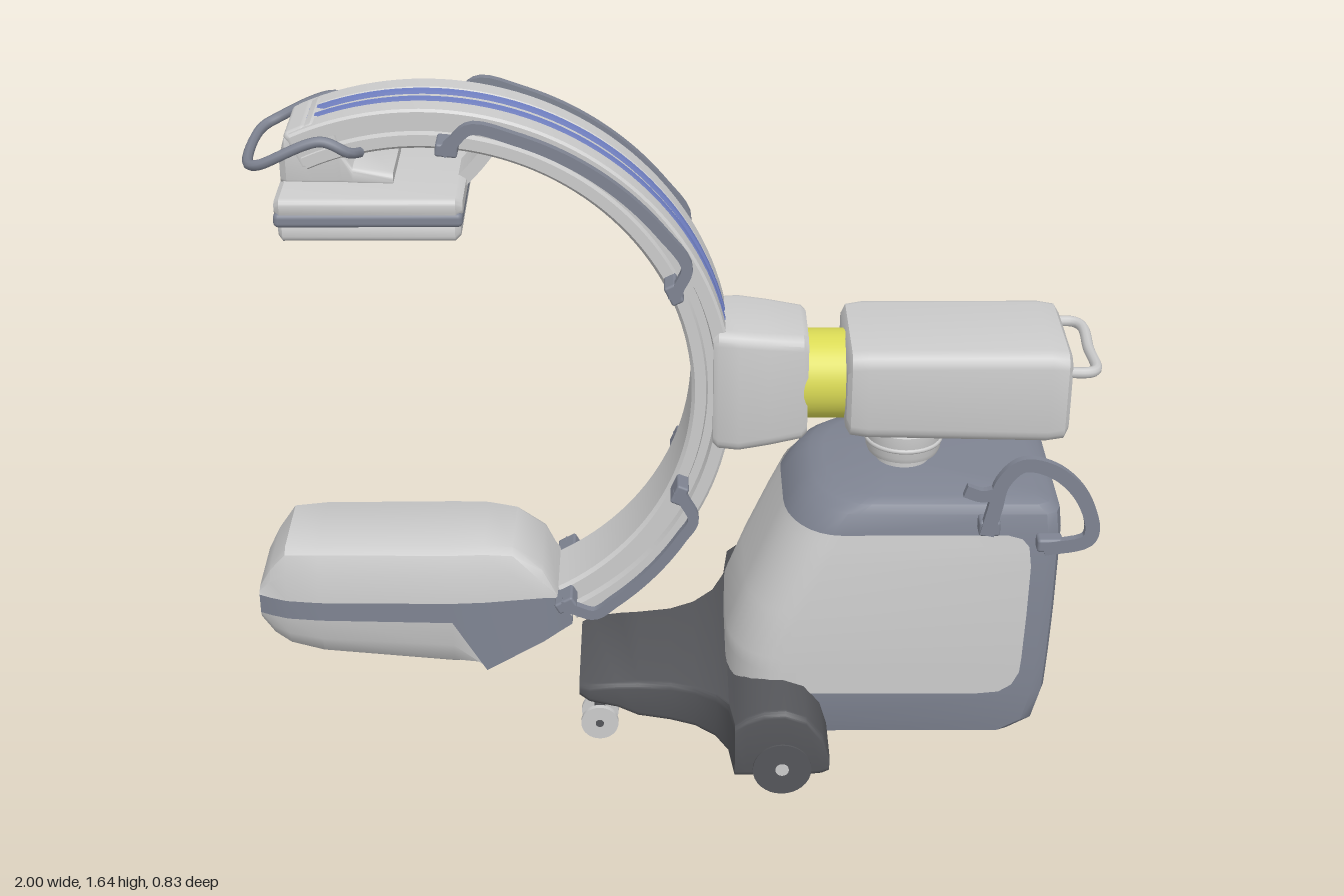
import * as THREE from 'three';
import { toCreasedNormals } from 'three/addons/utils/BufferGeometryUtils.js';
import { RoundedBoxGeometry } from 'three/addons/geometries/RoundedBoxGeometry.js';

const V = (x, y, z = 0) => new THREE.Vector3(x, y, z);
const lerp = THREE.MathUtils.lerp, rad = THREE.MathUtils.degToRad;
const mat = (color, side = THREE.FrontSide) => new THREE.MeshStandardMaterial({ color, side });
const LIGHT = mat(0xcccccc), SLATE = mat(0x7f8492), DARK = mat(0x55565a);
const YELLOW = mat(0xdada55), BLUE = mat(0x7080c4, THREE.DoubleSide), PANEL = mat(0xcccccc, THREE.DoubleSide);

// Surface through equal-length rows of points; closed rows get end caps
function skin(rows, closed = true) {
  const n = rows[0].length, pos = [], idx = [];
  rows.flat().forEach(p => pos.push(p.x, p.y, p.z));
  for (let i = 0; i < rows.length - 1; i++) for (let j = 0; j < (closed ? n : n - 1); j++) {
    const a = i * n + j, b = i * n + (j + 1) % n;
    idx.push(a, b, b + n, a, b + n, a + n);
  }
  if (closed) for (const i of [0, rows.length - 1]) {
    const c = rows[i].reduce((s, p) => s.add(p), V(0, 0)).divideScalar(n), ci = pos.length / 3;
    pos.push(c.x, c.y, c.z);
    for (let j = 0; j < n; j++) {
      const a = i * n + j, b = i * n + (j + 1) % n;
      idx.push(ci, i ? a : b, i ? b : a);
    }
  }
  const g = new THREE.BufferGeometry();
  g.setAttribute('position', new THREE.Float32BufferAttribute(pos, 3));
  g.setIndex(idx);
  return toCreasedNormals(g, 0.6);
}

// Rounded rectangular section across x
function section([x, yb, yt, w], r) {
  const out = [];
  for (const [q, sy, sz] of [[0, 1, 1], [1, -1, 1], [2, -1, -1], [3, 1, -1]]) for (let k = 0; k <= 4; k++) {
    const a = (q + k / 4) * Math.PI / 2;
    out.push(V(x, (sy > 0 ? yt - r : yb + r) + r * Math.cos(a), sz * (w - r) + r * Math.sin(a)));
  }
  return out;
}
const loft = (stations, r) => skin(stations.map(s => section(s, r)));

// Flat bar of given width along a smooth path in the xy plane
function ribbon(points, width, depth) {
  const curve = new THREE.CatmullRomCurve3(points, false, 'centripetal'), left = [], right = [];
  for (let i = 0; i <= 48; i++) {
    const p = curve.getPoint(i / 48), t = curve.getTangent(i / 48);
    left.push(new THREE.Vector2(p.x - t.y * width / 2, p.y + t.x * width / 2));
    right.push(new THREE.Vector2(p.x + t.y * width / 2, p.y - t.x * width / 2));
  }
  const g = new THREE.ExtrudeGeometry(new THREE.Shape([...right, ...left.reverse()]), { depth, bevelEnabled: false });
  return toCreasedNormals(g.translate(0, 0, -depth / 2), 0.6);
}

// Cart body levels: y, front x, back x, half width
const LEVELS = [
  [0.075, 0.30, 0.78, 0.24], [0.085, 0.25, 0.83, 0.26], [0.12, 0.18, 0.885, 0.265], [0.2, 0.14, 0.905, 0.267],
  [0.3, 0.14, 0.91, 0.267], [0.42, 0.185, 0.915, 0.262], [0.55, 0.24, 0.918, 0.255], [0.63, 0.275, 0.92, 0.245],
  [0.68, 0.31, 0.915, 0.237], [0.70, 0.34, 0.895, 0.225], [0.71, 0.37, 0.86, 0.2]];
function levelAt(y) {
  const i = Math.max(1, LEVELS.findIndex(l => l[0] >= y)), a = LEVELS[i - 1], b = LEVELS[i];
  return a.map((v, k) => lerp(v, b[k], (y - a[0]) / (b[0] - a[0])));
}
// Path round the front of the cart, from one side at xe to the other
function frontPath([y, xf, , w], xe, off = 0) {
  const half = [V(xe, y, -w - off)];
  for (let k = 0; k <= 8; k++) {
    const a = k / 8 * Math.PI / 2;
    half.push(V(xf - off + 0.13 * (1 - Math.sin(a)), y, -(w - 0.17) - (0.17 + off) * Math.cos(a)));
  }
  return [...half, ...half.map(p => V(p.x, p.y, -p.z)).reverse()];
}

export function createModel() {
  const model = new THREE.Group();
  const add = (name, geo, m, x = 0, y = 0, z = 0) => {
    const mesh = new THREE.Mesh(geo, m);
    mesh.name = name;
    mesh.position.set(x, y, z);
    model.add(mesh);
    return mesh;
  };
  const box = (x, y, z, r) => new RoundedBoxGeometry(x, y, z, 4, r);
  const disc = (r, t) => new THREE.CylinderGeometry(r, r, t, 32).rotateX(Math.PI / 2);

  // Cart body with inset-looking wrap panel
  add('cartBody', skin(LEVELS.map(l => {
    const [y, , xb, w] = l;
    return [...frontPath(l, xb - 0.035), V(xb - 0.01, y, w - 0.012), V(xb, y, w - 0.04), V(xb, y, -w + 0.04), V(xb - 0.01, y, -w + 0.012)];
  })), SLATE);
  add('cartPanel', skin([[0.2, 0.74], [0.205, 0.79], [0.225, 0.82], [0.26, 0.837], [0.3, 0.84], [0.42, 0.845], [0.55, 0.848],
    [0.6, 0.842], [0.62, 0.825], [0.63, 0.79]].map(([y, xe]) => frontPath(levelAt(y), xe, 0.004)), false), PANEL);

  // Wheeled base: front leg flaring into the crossbar
  add('base', loft([[-0.225, 0.11, 0.145, 0.15], [-0.2, 0.1, 0.152, 0.165], [-0.13, 0.085, 0.16, 0.168], [-0.08, 0.062, 0.162, 0.17],
    [0, 0.055, 0.165, 0.18], [0.06, 0.055, 0.17, 0.205], [0.11, 0.055, 0.178, 0.25], [0.14, 0.055, 0.19, 0.31], [0.152, 0.055, 0.198, 0.41],
    [0.18, 0.055, 0.22, 0.41], [0.22, 0.055, 0.236, 0.41], [0.27, 0.055, 0.24, 0.41], [0.32, 0.055, 0.222, 0.41],
    [0.36, 0.06, 0.17, 0.41], [0.378, 0.065, 0.11, 0.405]], 0.016), DARK);

  // Wheels, casters and side handles, mirrored
  for (const s of [1, -1]) {
    add('rearWheel', disc(0.07, 0.075), DARK, 0.265, 0.08, s * 0.377);
    add('rearWheelHub', disc(0.016, 0.08), LIGHT, 0.265, 0.08, s * 0.377);
    for (const z of [0.11, 0.165]) {
      add('casterWheel', disc(0.046, 0.013), LIGHT, -0.175, 0.046, s * z);
      add('casterHub', disc(0.01, 0.018), DARK, -0.175, 0.046, s * z);
    }
    add('casterAxle', disc(0.01, 0.06), DARK, -0.175, 0.046, s * 0.138);
    add('casterStem', new THREE.CylinderGeometry(0.014, 0.014, 0.07, 16), DARK, -0.175, 0.08, s * 0.138);

    add('sideHandle', ribbon([V(0.735, 0.65), V(0.75, 0.72), V(0.765, 0.79), V(0.81, 0.835), V(0.88, 0.82), V(0.945, 0.76),
      V(0.98, 0.67), V(0.97, 0.635), V(0.87, 0.612)], 0.034, 0.018), SLATE, 0, 0, s * 0.276);
    add('sideHandleTab', ribbon([V(0.68, 0.768), V(0.72, 0.755), V(0.76, 0.765)], 0.03, 0.018), SLATE, 0, 0, s * 0.276);
    add('sideHandleFoot', box(0.05, 0.04, 0.045, 0.008), SLATE, 0.742, 0.665, s * 0.26);
    add('sideHandleFoot', box(0.06, 0.035, 0.04, 0.008), SLATE, 0.885, 0.62, s * 0.265);
  }

  // Swivel column
  const column = [[0.001, 0.7], [0.065, 0.7], [0.065, 0.728], [0.085, 0.732], [0.09, 0.745], [0.09, 0.8], [0.08, 0.805], [0.08, 0.84]];
  add('column', toCreasedNormals(new THREE.LatheGeometry(column.map(p => new THREE.Vector2(...p)), 40), 0.6), LIGHT, 0.56, 0, 0);
  add('columnRing', new THREE.TorusGeometry(0.089, 0.006, 8, 40).rotateX(Math.PI / 2), LIGHT, 0.56, 0.765, 0);

  // Upper drive box, its rear handle, yellow joint and arc bracket
  add('driveBox', loft([[0.41, 0.85, 1.035, 0.145], [0.42, 0.836, 1.05, 0.158], [0.46, 0.832, 1.055, 0.163],
    [0.88, 0.822, 1.055, 0.163], [0.92, 0.826, 1.05, 0.158], [0.93, 0.84, 1.035, 0.145]], 0.035), LIGHT);
  add('driveHandle', new THREE.TubeGeometry(new THREE.CatmullRomCurve3([V(0.91, 1, -0.135), V(0.97, 1, -0.135), V(0.988, 0.998, -0.115),
    V(0.988, 0.995, 0), V(0.988, 0.998, 0.115), V(0.97, 1, 0.135), V(0.91, 1, 0.135)], false, 'centripetal'), 60, 0.013, 10), LIGHT);
  add('joint', new THREE.CylinderGeometry(0.107, 0.107, 0.12, 48).rotateZ(Math.PI / 2), YELLOW, 0.365, 0.932, 0);
  add('arcBracket', loft([[0.1, 0.79, 1.08, 0.11], [0.112, 0.782, 1.088, 0.118], [0.16, 0.78, 1.088, 0.125], [0.23, 0.79, 1.08, 0.12],
    [0.31, 0.802, 1.07, 0.108], [0.322, 0.812, 1.06, 0.1]], 0.03), LIGHT);

  // C-shaped arc: grooved rail profile swept about its centre
  const CX = -0.56, CY = 0.93, A0 = -62, A1 = 114;
  const polar = (r, deg) => V(CX + r * Math.cos(rad(deg)), CY + r * Math.sin(rad(deg)));
  const sweep = pts => toCreasedNormals(new THREE.LatheGeometry(pts.map(p => new THREE.Vector2(...p)), 72, rad(A0 + 90), rad(A1 - A0)), 0.5)
    .rotateX(Math.PI / 2);
  const side = [[0.70, 0.1], [0.672, 0.1], [0.668, 0.08], [0.648, 0.08], [0.644, 0.095], [0.618, 0.095], [0.61, 0.085]];
  const top = [[0.706, 0.045], [0.706, 0.095]];
  const halfRail = [[0.7, 0.04], ...top, ...side];
  const rail = [...halfRail.map(([r, z]) => [r, -z]).reverse(), ...halfRail];
  add('arcRail', sweep([...rail, rail[0]]), PANEL, CX, CY, 0);
  for (const z of [-0.025, 0.025]) add('arcStripe', sweep([[0.7, z - 0.011], [0.707, z - 0.009], [0.707, z + 0.009], [0.7, z + 0.011]]), BLUE, CX, CY, 0);

  // Grab bars beside the arc
  for (const s of [1, -1]) for (const [a, b] of [[80, 30], [-27, -57]]) {
    const pts = [polar(0.625, a + 5), polar(0.65, a + 3)];
    for (let k = 0; k <= 6; k++) pts.push(polar(0.69, lerp(a, b, k / 6)));
    pts.push(polar(0.65, b - 3), polar(0.625, b - 5));
    add('grabBar', ribbon(pts, 0.026, 0.02), SLATE, 0, 0, s * 0.145);
    for (const e of [a + 4, b - 4]) {
      const p = polar(0.632, e);
      add('grabBarFoot', box(0.03, 0.05, 0.07, 0.006), SLATE, p.x, p.y, s * 0.12).rotation.z = rad(e);
    }
  }

  // Detector under the upper arc end
  add('detectorTop', loft([[-0.878, 1.42, 1.45, 0.185], [-0.865, 1.415, 1.46, 0.198], [-0.475, 1.415, 1.46, 0.198], [-0.46, 1.42, 1.45, 0.185]], 0.014), LIGHT);
  add('detectorBand', box(0.42, 0.034, 0.402, 0.012), SLATE, -0.67, 1.411, 0);
  add('detectorBottom', loft([[-0.872, 1.365, 1.405, 0.18], [-0.862, 1.357, 1.405, 0.192], [-0.478, 1.357, 1.405, 0.192], [-0.466, 1.365, 1.405, 0.18]], 0.014), LIGHT);
  add('detectorNeck', loft([[-0.875, 1.45, 1.515, 0.075], [-0.86, 1.45, 1.565, 0.088], [-0.8, 1.45, 1.597, 0.09], [-0.75, 1.45, 1.59, 0.09],
    [-0.735, 1.45, 1.53, 0.09], [-0.71, 1.45, 1.495, 0.095], [-0.62, 1.45, 1.482, 0.1]], 0.014), LIGHT);
  add('detectorStrut', ribbon([V(-0.485, 1.43), V(-0.43, 1.49), V(-0.38, 1.56)], 0.03, 0.1), LIGHT);
  add('arcEndCap', box(0.1, 0.06, 0.18, 0.015), LIGHT, polar(0.66, 113).x, polar(0.66, 113).y, 0).rotation.z = rad(113);
  add('endHandle', new THREE.TubeGeometry(new THREE.CatmullRomCurve3([V(-0.69, 1.535, -0.1), V(-0.71, 1.55, -0.14), V(-0.77, 1.578, -0.145),
    V(-0.91, 1.522, -0.14), V(-0.938, 1.512, -0.11), V(-0.938, 1.512, 0.11), V(-0.91, 1.522, 0.14), V(-0.77, 1.578, 0.145),
    V(-0.71, 1.55, 0.14), V(-0.69, 1.535, 0.1)], false, 'centripetal'), 80, 0.012, 8), SLATE);

  // Source housing: x, bottom, band bottom, band top, top, half width
  const H = [[-1, 0.305, 0.335, 0.385, 0.40, 0.11], [-0.97, 0.265, 0.335, 0.385, 0.46, 0.125], [-0.93, 0.24, 0.335, 0.385, 0.515, 0.14],
    [-0.85, 0.22, 0.335, 0.385, 0.52, 0.15], [-0.53, 0.19, 0.33, 0.385, 0.52, 0.155], [-0.45, 0.195, 0.19, 0.385, 0.52, 0.15],
    [-0.38, 0.23, 0.225, 0.385, 0.51, 0.14], [-0.31, 0.265, 0.26, 0.385, 0.46, 0.13], [-0.275, 0.285, 0.28, 0.38, 0.385, 0.12],
    [-0.24, 0.3, 0.296, 0.315, 0.316, 0.105]];
  const mirrored = (half) => [...half, ...half.map(p => V(p.x, p.y, -p.z)).reverse()];
  add('housingTop', skin(H.map(([x, , , y2, yt, w]) =>
    mirrored([V(x, y2, -w), V(x, lerp(y2, yt, 0.55), -w * 0.96), V(x, lerp(y2, yt, 0.9), -w * 0.85), V(x, yt, -w * 0.7)]))), LIGHT);
  add('housingBand', skin(H.map(([x, , y1, y2, , w]) => mirrored([V(x, y1, -w), V(x, y2, -w)]))), SLATE);
  add('housingBottom', skin(H.map(([x, yb, y1, , , w]) =>
    mirrored([V(x, y1, w), V(x, lerp(y1, yb, 0.5), w * 0.94), V(x, lerp(y1, yb, 0.88), w * 0.82), V(x, yb, w * 0.68)]))), LIGHT);

  return model;
}
